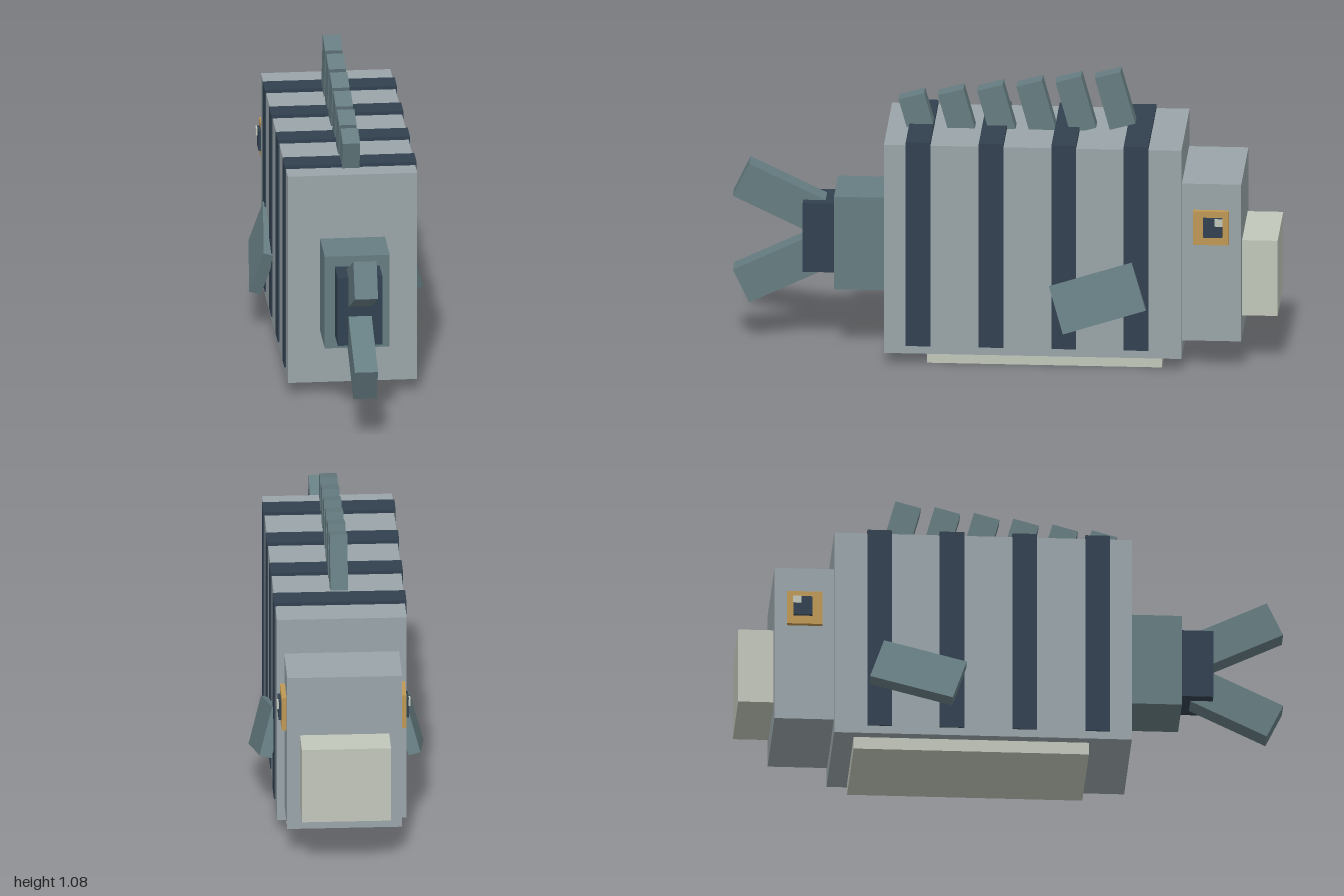
import * as THREE from 'three';

const mat = (name, color) => {
  const m = new THREE.MeshStandardMaterial({ color });
  m.name = name;
  return m;
};

export function createModel() {
  const fish = new THREE.Group();
  fish.name = 'blockFish';
  const skin = mat('greySkin', 0x9aa5a9);
  const stripe = mat('navyStripe', 0x324150);
  const fin = mat('tealFin', 0x667d82);
  const pale = mat('paleBelly', 0xc2c7bb);
  const gold = mat('goldIris', 0xbf9955);

  // Box from its size and centre
  const box = (name, m, size, pos) => {
    const mesh = new THREE.Mesh(new THREE.BoxGeometry(...size), m);
    mesh.name = name;
    mesh.position.set(...pos);
    fish.add(mesh);
    return mesh;
  };
  // Box from its half width and its y and z ranges
  const block = (name, m, hx, y0, y1, z0, z1) =>
    box(name, m, [2 * hx, y1 - y0, z1 - z0], [0, (y0 + y1) / 2, (z0 + z1) / 2]);

  // Trunk, head pointing to -z
  block('body', skin, 0.237, 0.047, 0.85, -0.653, 0.435);
  block('head', skin, 0.21, 0.11, 0.715, -0.87, -0.6);
  block('snout', pale, 0.163, 0.195, 0.485, -1, -0.85);
  block('belly', pale, 0.2, 0, 0.06, -0.58, 0.28);
  block('tailBase', fin, 0.119, 0.248, 0.605, 0.42, 0.625);
  block('tailJoint', stripe, 0.082, 0.3, 0.565, 0.6, 0.742);

  // Bands wrapping the body
  [0.31, 0.043, -0.223, -0.487].forEach((z) =>
    block('bodyStripe', stripe, 0.242, 0.077, 0.863, z - 0.045, z + 0.045));

  // Forked tail
  for (const s of [1, -1]) {
    const lobe = box('tailFin', fin, [0.085, 0.139, 0.31], [0, 0.432 + s * 0.138, 0.83]);
    lobe.rotation.x = -s * 0.447;
  }

  // Row of back spines rising toward the head
  for (let i = 0; i < 6; i++) {
    const spine = box('backSpine', fin, [0.064, 0.205, 0.097], [0, 0.87 + 0.0193 * i, 0.32 - 0.1435 * i]);
    spine.rotation.x = 0.27;
  }

  for (const s of [1, -1]) {
    // Splayed side fin
    const side = box('sideFin', fin, [0.045, 0.183, 0.315], [s * 0.261, 0.283, -0.348]);
    side.rotation.set(0.3, 0, s * 0.28, 'ZYX');

    // Eye in layers
    box('iris', gold, [0.02, 0.13, 0.13], [s * 0.218, 0.55, -0.76]);
    box('pupil', stripe, [0.01, 0.074, 0.07], [s * 0.233, 0.554, -0.767]);
    box('eyeGlint', pale, [0.008, 0.027, 0.03], [s * 0.24, 0.576, -0.789]);
  }
  return fish;
}
